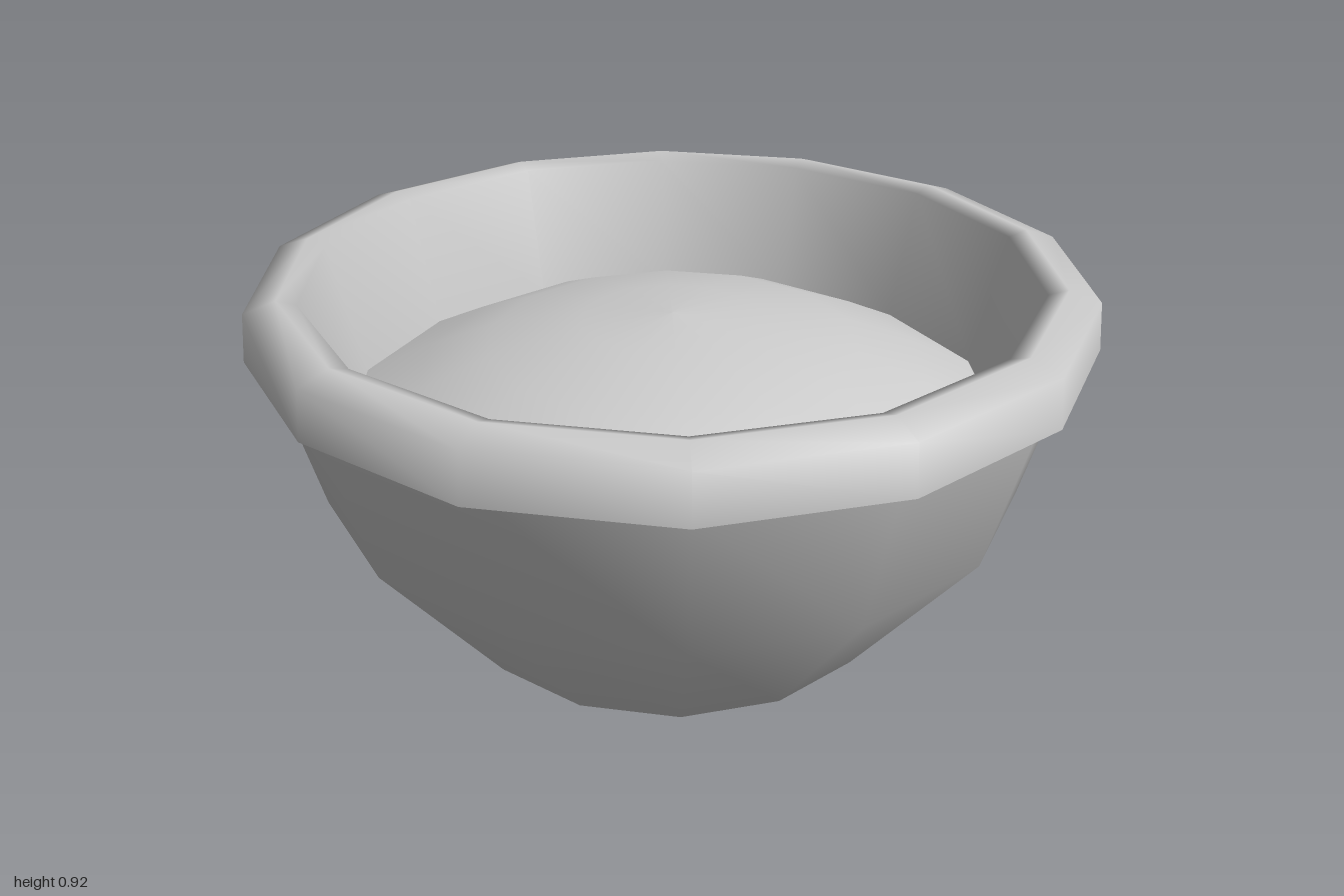
import * as THREE from 'three';

const SIDES = 14;

export function createModel() {
  const group = new THREE.Group();
  const material = new THREE.MeshStandardMaterial({ color: 0xcccccc });

  // Revolves a profile of [radius, height] points; smooth within one profile
  function turned(name, profile) {
    const points = profile.map(([r, y]) => new THREE.Vector2(r, y));
    const mesh = new THREE.Mesh(new THREE.LatheGeometry(points, SIDES), material);
    mesh.name = name;
    group.add(mesh);
  }

  // Bowl: flat foot and flared outer wall
  turned('base', [[0, 0], [0.54, 0]]);
  turned('outerWall', [[0.54, 0], [0.85, 0.39], [0.955, 0.775]]);

  // Overhanging rim, rolling over into the inner wall
  turned('rimUnderside', [[0.955, 0.775], [1, 0.775]]);
  turned('rimAndInnerWall', [[1, 0.775], [0.99, 0.89], [0.915, 0.915], [0.87, 0.9], [0.79, 0.57]]);

  // Gently domed filling
  turned('filling', [[0.79, 0.57], [0.62, 0.655], [0.45, 0.725], [0.22, 0.775], [0, 0.79]]);

  return group;
}
